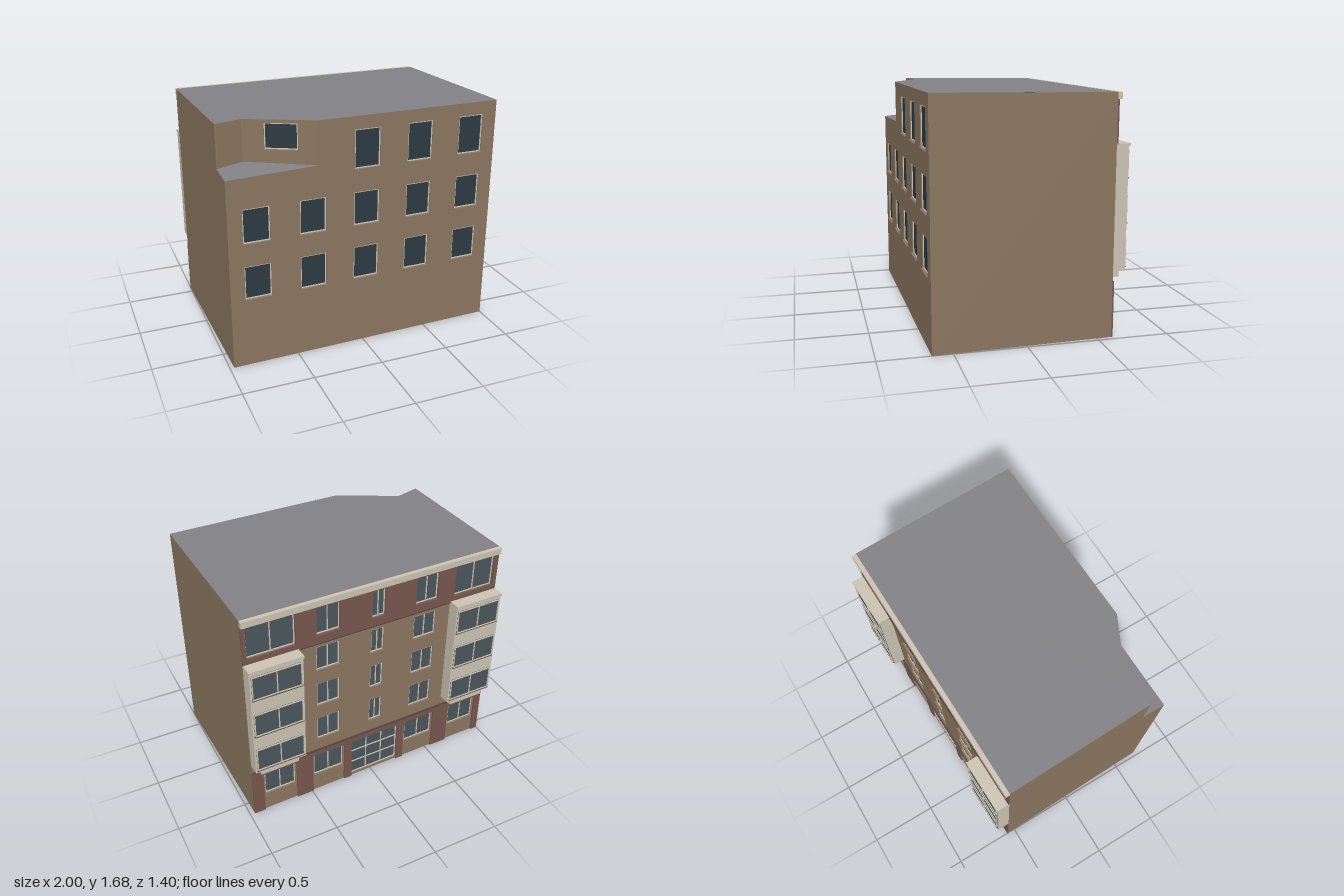
import * as THREE from 'three';

const mat = (color, side = THREE.FrontSide) =>
  new THREE.MeshStandardMaterial({ color, side, flatShading: true });
const BROWN = mat(0x8a765f);
const RED = mat(0x77574e);
const STONE = mat(0xcbc4b4);
const ROOF = mat(0x828286, THREE.DoubleSide);
const GLASS = mat(0x2c3a42);
const GLASS_BACK = mat(0x4a565c);
const DARK = mat(0x54463e);
const T = 0.01; // wall thickness

// Plan corners [x, z]
const FL = [-0.97, 0.69], FR = [1, 0.642], BR = [0.965, -0.603], BL = [-1, -0.555];
const NA = [-0.97, 0.505], NB = [-0.785, 0.45], NC = [-0.34, 0.675]; // terrace cut-out
const roofY = (z) => 1.665 + (z + 0.6) * 0.0125;
const dist = (a, b) => Math.hypot(b[0] - a[0], b[1] - a[1]);

function add(parent, name, geometry, material) {
  const m = new THREE.Mesh(geometry, material);
  m.name = name;
  parent.add(m);
  return m;
}

// Box given by its extents
function block(parent, name, material, x0, x1, y0, y1, z0, z1) {
  const m = add(parent, name, new THREE.BoxGeometry(x1 - x0, y1 - y0, z1 - z0), material);
  m.position.set((x0 + x1) / 2, (y0 + y1) / 2, (z0 + z1) / 2);
}

// Group whose x runs along a wall from a to b and whose z points outwards
function facade(parent, name, a, b) {
  const g = new THREE.Group();
  g.name = name;
  g.position.set(a[0], 0, a[1]);
  g.rotation.y = Math.atan2(a[1] - b[1], b[0] - a[0]);
  parent.add(g);
  return g;
}

// Flat panel with rectangular holes, between z0 and z1
function panel(parent, name, material, outline, holes, z0, z1) {
  const shape = new THREE.Shape(outline.map((p) => new THREE.Vector2(...p)));
  for (const [x0, x1, y0, y1] of holes) {
    shape.holes.push(new THREE.Path([[x0, y0], [x0, y1], [x1, y1], [x1, y0]].map((p) => new THREE.Vector2(...p))));
  }
  const geo = new THREE.ExtrudeGeometry(shape, { depth: z1 - z0, bevelEnabled: false });
  add(parent, name, geo.translate(0, 0, z0), material);
}

// Polygon of [x, z, y] corners
function slab(parent, name, material, pts) {
  const tris = THREE.ShapeUtils.triangulateShape(pts.map(([x, z]) => new THREE.Vector2(x, -z)), []);
  const geo = new THREE.BufferGeometry();
  geo.setAttribute('position', new THREE.Float32BufferAttribute(pts.flatMap(([x, z, y]) => [x, y, z]), 3));
  geo.setIndex(tris.flat());
  geo.computeVertexNormals();
  add(parent, name, geo, material);
}

// Glazing with a grid frame whose front is at depth z
function glazing(parent, name, [x0, x1, y0, y1], cols, rows, z, glass) {
  const g = new THREE.Group();
  g.name = name;
  parent.add(g);
  block(g, 'glass', glass, x0, x1, y0, y1, z - 0.012, z - 0.006);
  const w = 0.007;
  for (let i = 0; i <= cols; i++) {
    const x = x0 + (x1 - x0 - w) * i / cols;
    block(g, 'frameUpright', STONE, x, x + w, y0, y1, z - 0.006, z);
  }
  for (let j = 0; j <= rows; j++) {
    const y = y0 + (y1 - y0 - w) * j / rows;
    block(g, 'frameRail', STONE, x0, x1, y, y + w, z - 0.006, z);
  }
}

// Recessed window with a projecting sill
function sillWindow(parent, name, rect, cols, glass, sillMat, depth) {
  glazing(parent, name, rect, cols, 1, -0.006, glass);
  const [x0, x1, y0] = rect;
  block(parent, 'sill', sillMat, x0 - 0.005, x1 + 0.005, y0 - 0.007, y0, -0.006, depth);
}

function buildFront(root) {
  const g = facade(root, 'frontFacade', FL, FR);
  const L = dist(FL, FR), n = dist(FL, NC);
  const cols = [-0.868, -0.472, -0.08, 0.315, 0.71];
  const holes = [];
  [[0.505, 0.745], [0.91, 1.152], [1.318, 1.59]].forEach(([y0, y1], row) => {
    cols.forEach((x, i) => {
      if (row < 2 || i > 1) holes.push([x + 0.97, x + 1.156, y0, y1]);
    });
  });
  panel(g, 'frontWall', BROWN,
    [[0, 0], [L, 0], [L, roofY(FR[1])], [n, roofY(NC[1])], [n, 1.38], [0, 1.36]], holes, -T, 0);
  holes.forEach((h) => sillWindow(g, 'frontWindow', h, 1, GLASS, BROWN, 0.012));
}

function buildSides(root) {
  const r = facade(root, 'rightSide', FR, BR), rl = dist(FR, BR);
  panel(r, 'rightWall', BROWN, [[0, 0], [rl, 0], [rl, roofY(BR[1])], [0, roofY(FR[1])]], [], -T, 0);
  const l = facade(root, 'leftSide', BL, FL), ll = dist(BL, FL), s = dist(BL, NA);
  panel(l, 'leftWall', BROWN,
    [[0, 0], [ll, 0], [ll, 1.36], [s, 1.38], [s, roofY(NA[1])], [0, roofY(BL[1])]], [], -T, 0);
}

// Walls around the cut-out corner on the top floor
function buildTerrace(root) {
  const a = facade(root, 'terraceShortSide', NA, NB), al = dist(NA, NB);
  panel(a, 'terraceWall', BROWN, [[0, 1.375], [al, 1.375], [al, roofY(NB[1])], [0, roofY(NA[1])]], [], -0.003, 0);
  const b = facade(root, 'terraceLongSide', NB, NC), bl = dist(NB, NC);
  const hole = [0.145, 0.365, 1.48, 1.657];
  panel(b, 'terraceWall', BROWN, [[0, 1.375], [bl, 1.375], [bl, roofY(NC[1])], [0, roofY(NB[1])]], [hole], -T, 0);
  sillWindow(b, 'terraceWindow', hole, 1, GLASS, BROWN, 0.012);
  slab(root, 'terraceRoof', ROOF, [[...FL, 1.362], [...NC, 1.38], [...NB, 1.39], [...NA, 1.382]]);
}

// Projecting bay with three bands of windows
function buildBay(g, x0, x1) {
  const bay = new THREE.Group();
  bay.name = 'bay';
  g.add(bay);
  block(bay, 'bayBody', STONE, x0 + 0.003, x1 - 0.003, 0.465, 1.31, 0, 0.088);
  block(bay, 'bayCap', STONE, x0, x1, 1.31, 1.33, 0, 0.098);
  block(bay, 'bayBracket', STONE, x0 + 0.05, x1 - 0.05, 0.41, 0.465, 0, 0.063);
  for (const y of [0.49, 0.795, 1.1]) {
    glazing(bay, 'bayWindow', [x0 + 0.016, x1 - 0.016, y, y + 0.185], 2, 1, 0.097, GLASS_BACK);
    block(bay, 'baySill', DARK, x0 + 0.012, x1 - 0.012, y - 0.006, y, 0.088, 0.098);
  }
}

function buildBack(root) {
  const g = facade(root, 'backFacade', BR, BL);
  const L = dist(BR, BL), top = roofY(BR[1]);
  const small = [[0.52, 0.695], [0.94, 1.04], [1.285, 1.465]];
  const floors = [0.49, 0.795, 1.1].flatMap((y) => small.map(([a, b]) => [a, b, y, y + 0.188]));
  const attic = small.map(([a, b]) => [a, b, 1.39, 1.6]);
  const wide = [[0.03, 0.37, 1.37, 1.605], [1.605, 1.93, 1.37, 1.605]];
  const shops = [[0.085, 0.345], [0.475, 0.735], [1.25, 1.515], [1.655, 1.91]];
  const shopWindows = shops.map(([a, b]) => [a + 0.012, b - 0.012, 0.15, 0.335]);
  const door = [0.795, 1.19, 0.02, 0.345];
  panel(g, 'backWall', BROWN, [[0, 0], [L, 0], [L, top], [0, top]],
    [...floors, ...attic, ...wide, ...shopWindows, door], -T, 0);

  // Red cladding on the top and ground floors
  panel(g, 'topCladding', RED, [[0, 1.325], [L, 1.325], [L, 1.62], [0, 1.62]], [...attic, ...wide], 0, 0.011);
  const base = [[0, 0]];
  const gaps = [...shops, [door[0], door[1]]].sort((p, q) => p[0] - q[0]);
  for (const [a, b] of gaps) base.push([a, 0], [a, 0.345], [b, 0.345], [b, 0]);
  base.push([L, 0], [L, 0.39], [0, 0.39]);
  panel(g, 'groundCladding', RED, base, [], 0, 0.011);
  for (const y of [1.318, 0.385]) block(g, 'bandMoulding', DARK, 0.004, L - 0.004, y, y + 0.007, 0, 0.013);
  block(g, 'cornice', STONE, 0, L, 1.62, top, 0, 0.031);

  floors.forEach((h) => sillWindow(g, 'backWindow', h, 2, GLASS_BACK, BROWN, 0.008));
  attic.forEach((h) => sillWindow(g, 'atticWindow', h, 2, GLASS_BACK, RED, 0.014));
  wide.forEach((h) => sillWindow(g, 'wideAtticWindow', h, 2, GLASS_BACK, RED, 0.014));
  shopWindows.forEach((h) => sillWindow(g, 'groundWindow', h, 2, GLASS_BACK, BROWN, 0.006));
  glazing(g, 'entranceDoor', door, 3, 3, -0.006, GLASS_BACK);

  buildBay(g, 0, 0.387);
  buildBay(g, L - 0.387, L);
}

// Hollow shell, open at the ground
export function createModel() {
  const root = new THREE.Group();
  root.name = 'apartmentBuilding';
  buildFront(root);
  buildSides(root);
  buildTerrace(root);
  buildBack(root);
  slab(root, 'roof', ROOF, [NA, NB, NC, FR, BR, BL].map(([x, z]) => [x, z, roofY(z) + 0.001]));
  return root;
}
